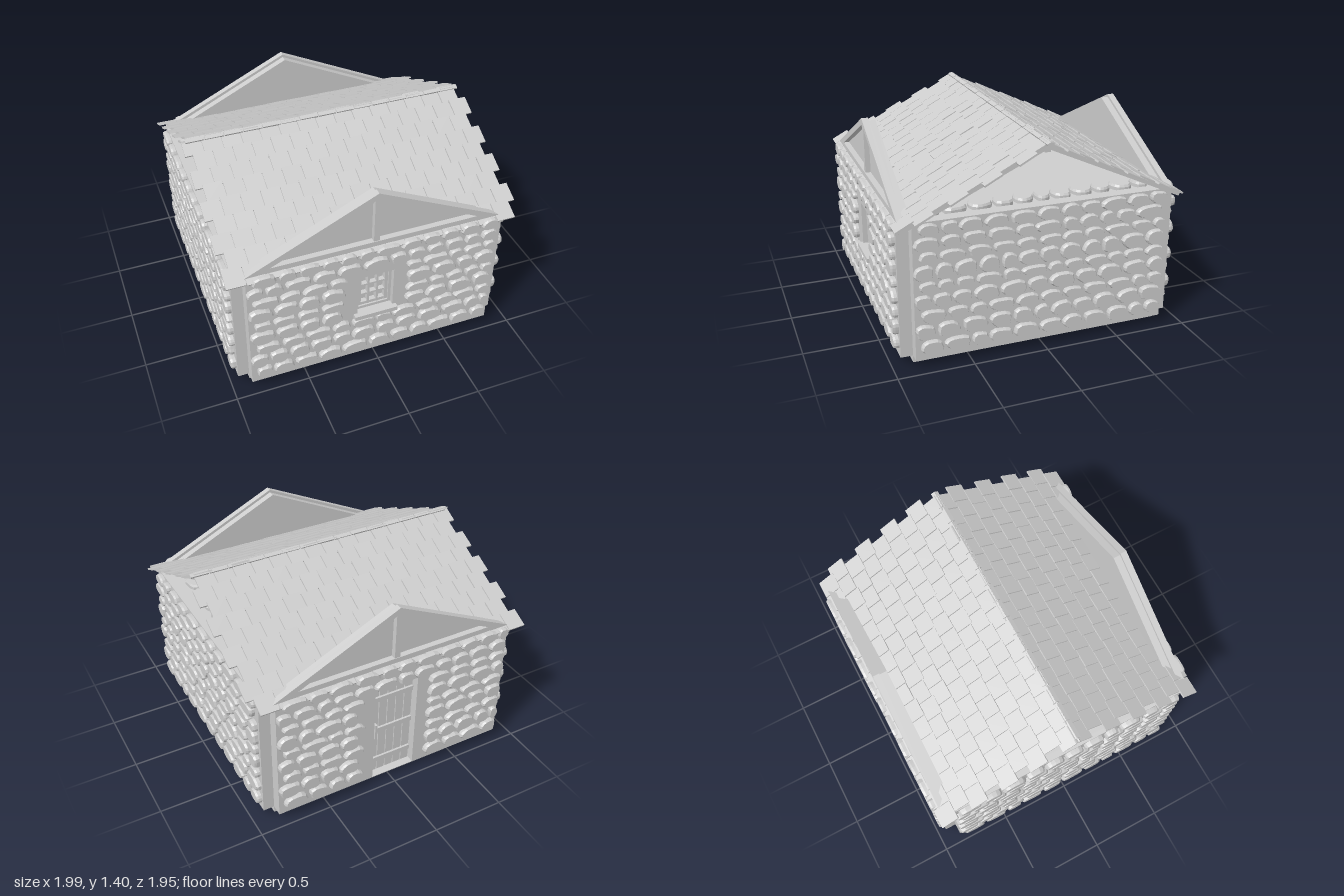
import * as THREE from 'three';
import { mergeGeometries } from 'three/addons/utils/BufferGeometryUtils.js';

const stoneGrey = new THREE.MeshStandardMaterial({ color: 0xcccccc });
stoneGrey.name = 'stoneGrey';

let seed = 7;
const rand = (a, b) => {
  seed = (seed * 16807) % 2147483647;
  return a + (b - a) * seed / 2147483647;
};

const mesh = (name, geometry, parent) => {
  const m = new THREE.Mesh(geometry, stoneGrey);
  m.name = name;
  parent.add(m);
  return m;
};

// Box given by its limits on each axis
const span = (x0, x1, y0, y1, z0, z1) =>
  new THREE.BoxGeometry(x1 - x0, y1 - y0, z1 - z0)
    .translate((x0 + x1) / 2, (y0 + y1) / 2, (z0 + z1) / 2);

const polygon = (pts, Type = THREE.Shape) => new Type(pts.map(p => new THREE.Vector2(...p)));
const rect = (x0, x1, y0, y1) => [[x0, y0], [x1, y0], [x1, y1], [x0, y1]];
const extrude = (shape, z0, z1) =>
  new THREE.ExtrudeGeometry(shape, { depth: z1 - z0, bevelEnabled: false }).translate(0, 0, z0);

// One irregular flat stone with a chamfered rim, facing +z
const stoneProfile = [[1, 0], [1, 0.6], [0.88, 1], [0, 1]].map(p => new THREE.Vector2(...p));
function stone(x, y, w, h, depth) {
  const g = new THREE.LatheGeometry(stoneProfile, 14);
  const p = g.attributes.position;
  const q = rand(0, 6), r = rand(0, 6), s = rand(0, 6);
  for (let i = 0; i < p.count; i++) {
    const t = Math.atan2(p.getZ(i), p.getX(i));
    const c = Math.abs(Math.cos(t)), d = Math.abs(Math.sin(t));
    // squared-off oval with a little wobble
    const k = Math.pow(c ** 2.7 + d ** 2.7, -1 / 2.7)
      * (0.98 + 0.04 * Math.cos(2 * t + q) + 0.05 * Math.cos(3 * t + r) + 0.02 * Math.cos(5 * t + s));
    p.setXYZ(i, p.getX(i) * k * w / 2, p.getY(i) * depth, p.getZ(i) * k * h / 2);
  }
  g.rotateX(Math.PI / 2).translate(x, y, 0);
  const flat = g.toNonIndexed();
  flat.computeVertexNormals();
  return flat;
}

function stoneRow(y, h, x0, x1, gap, list) {
  let x = x0;
  while (x < x1 - 0.05) {
    let w = rand(0.1, 0.175);
    if (x1 - x - w < 0.07) w = Math.min(x1 - x, 0.18);
    if (gap && x < gap[1] && x + w > gap[0]) {
      if (gap[0] - x > 0.06) list.push(stone((x + gap[0]) / 2, y, gap[0] - x, h, 0.035));
      x = gap[1];
      continue;
    }
    list.push(stone(x + w / 2, y, w, h * rand(0.92, 1.04), 0.035));
    x += w + 0.014;
  }
}

// Nine courses of stones; the gap leaves room for an opening
const courses = [[0.14, 0.09], [0.25, 0.1], [0.355, 0.076], [0.455, 0.098], [0.555, 0.066],
  [0.65, 0.1], [0.75, 0.066], [0.84, 0.08], [0.932, 0.078]];
function stones(gap, first, last) {
  const list = [];
  courses.forEach(([y, h], i) => {
    const inGap = i >= first && i <= last;
    const shift = i % 2 ? 0 : 0.035;
    stoneRow(y, h, -0.86 + shift, 0.845, inGap ? gap : null, list);
  });
  return mergeGeometries(list);
}

// A wall facing +z with an optional opening
function wall(name, offset, angle, top, opening, gap, first, last) {
  const g = new THREE.Group();
  g.name = name;
  g.rotation.y = angle;
  const shape = polygon(rect(-0.86, 0.86, 0.05, top));
  if (opening) shape.holes.push(polygon(rect(...opening), THREE.Path));
  mesh(name + 'Panel', extrude(shape, offset - 0.08, offset), g);
  mesh(name + 'Stones', stones(gap, first, last), g).position.z = offset;
  return g;
}

// Sash with a three by three grid of panes, and a sill
function windowParts(parent) {
  const bars = [];
  for (let i = 0; i < 4; i++) {
    const t = i === 0 || i === 3 ? 0.011 : 0.007;
    const x = -0.094 + i * 0.0627, y = 0.456 + i * 0.08;
    bars.push(span(x - t, x + t, 0.445, 0.707, 0.86, 0.895));
    bars.push(span(-0.105, 0.105, y - t, y + t, 0.86, 0.893));
  }
  mesh('windowBars', mergeGeometries(bars), parent);
  const ring = polygon(rect(-0.125, 0.125, 0.42, 0.73));
  ring.holes.push(polygon(rect(-0.105, 0.105, 0.445, 0.707), THREE.Path));
  mesh('windowFrame', extrude(ring, 0.86, 0.905), parent);
  mesh('windowSill', span(-0.15, 0.15, 0.393, 0.424, 0.87, 0.975), parent);
}

// Plank door with cross bars
function doorParts(parent) {
  const planks = [];
  for (let i = 0; i < 5; i++) {
    const x = -0.16 + i * 0.064;
    planks.push(span(x + 0.003, x + 0.061, 0.055, 0.79, 0.86, 0.885));
  }
  mesh('doorPlanks', mergeGeometries(planks), parent);
  const bars = [0.16, 0.42, 0.68].map(y => span(-0.155, 0.155, y - 0.018, y + 0.018, 0.88, 0.9));
  mesh('doorBars', mergeGeometries(bars), parent);
  mesh('doorHandle', span(-0.135, -0.12, 0.36, 0.48, 0.88, 0.915), parent);
}

// Triangular pediment facing +z: panel, raised frame and king post
function pediment() {
  const g = new THREE.Group();
  g.name = 'pediment';
  mesh('pedimentPanel', extrude(polygon([[-0.86, 0.945], [0.86, 0.945], [0, 1.355]]), 0.835, 0.89), g);
  const frame = polygon([[-0.87, 0.963], [0.87, 0.963], [0, 1.375]]);
  frame.holes.push(polygon([[-0.7, 1.0], [0.7, 1.0], [0, 1.332]], THREE.Path));
  mesh('pedimentFrame', extrude(frame, 0.885, 0.93), g);
  mesh('pedimentPost', span(-0.02, 0.02, 0.98, 1.345, 0.885, 0.925), g);
  return g;
}

// One roof slope running down towards +z; side keeps the staggered ends aligned
const pitch = Math.atan(0.455), slopeLength = 1.065;
function roofSlope(side) {
  const g = new THREE.Group();
  g.name = 'roofSlope';
  const tilt = new THREE.Group();
  tilt.position.y = 1.39;
  tilt.rotation.x = pitch;
  g.add(tilt);
  mesh('roofBoard', span(-0.935, 0.935, -0.04, -0.014, 0, slopeLength - 0.02), tilt);
  const list = [], rows = 9, step = slopeLength / rows;
  for (let r = 0; r < rows; r++) {
    const start = -0.975 + (r % 2 ? 0.025 : -0.025) * side;
    for (let c = 0; c < 15; c++) {
      const len = step + 0.012;
      const end = (r + 1) * step - (r < rows - 1 ? rand(-0.008, 0.008) : rand(0, 0.008));
      const b = new THREE.BoxGeometry(0.124, 0.012, len);
      b.rotateX(-0.05 + rand(-0.015, 0.015));
      b.rotateX(0.1).rotateZ(rand(-0.015, 0.015));
      b.translate(start + 0.065 + c * 0.13, -0.009 + rand(0, 0.004), end - len / 2);
      list.push(b);
    }
  }
  mesh('shingles', mergeGeometries(list), tilt);
  // ridge capping
  const caps = [];
  for (let c = 0; c < 15; c++) {
    const x = -0.975 + c * 0.13;
    caps.push(span(x + 0.003, x + 0.127, -0.004, 0.008 + rand(0, 0.004), -0.004, 0.024));
  }
  mesh('ridgeCaps', mergeGeometries(caps), tilt);
  return g;
}

export function createModel() {
  seed = 7;
  const model = new THREE.Group();
  model.name = 'stoneCottage';
  const house = new THREE.Group();
  house.name = 'house';
  house.position.x = -0.015;
  model.add(house);

  mesh('plinth', span(-0.86, 0.86, 0, 0.055, -0.86, 0.86), house);
  mesh('core', span(-0.86, 0.86, 0.05, 0.95, -0.86, 0.86), house);

  const front = wall('frontWall', 0.94, 0, 0.945, [-0.125, 0.125, 0.42, 0.73], [-0.2, 0.21], 3, 6);
  windowParts(front);
  const back = wall('backWall', 0.94, Math.PI, 0.945, [-0.16, 0.16, 0.055, 0.79], [-0.24, 0.24], 0, 6);
  doorParts(back);
  house.add(front, back);
  house.add(wall('leftWall', 0.935, Math.PI / 2, 0.978));
  house.add(wall('rightWall', 0.935, -Math.PI / 2, 0.978));

  for (const s of [1, -1]) {
    const p = pediment();
    p.rotation.y = s > 0 ? 0 : Math.PI;
    house.add(p);
    const slope = roofSlope(s);
    slope.rotation.y = s > 0 ? 0 : Math.PI;
    model.add(slope);
    // stones bedded flat along the inside of the wall head
    const list = [];
    stoneRow(0, 0.14, -0.78, 0.78, null, list);
    const bed = mesh('wallHeadStones', mergeGeometries(list), house);
    bed.rotation.set(-Math.PI / 2, 0, Math.PI / 2);
    bed.position.set(s * 0.76, 0.96, 0);
  }
  mesh('ridgeBeam', span(-0.93, 0.93, 1.325, 1.365, -0.02, 0.02), model);
  return model;
}
